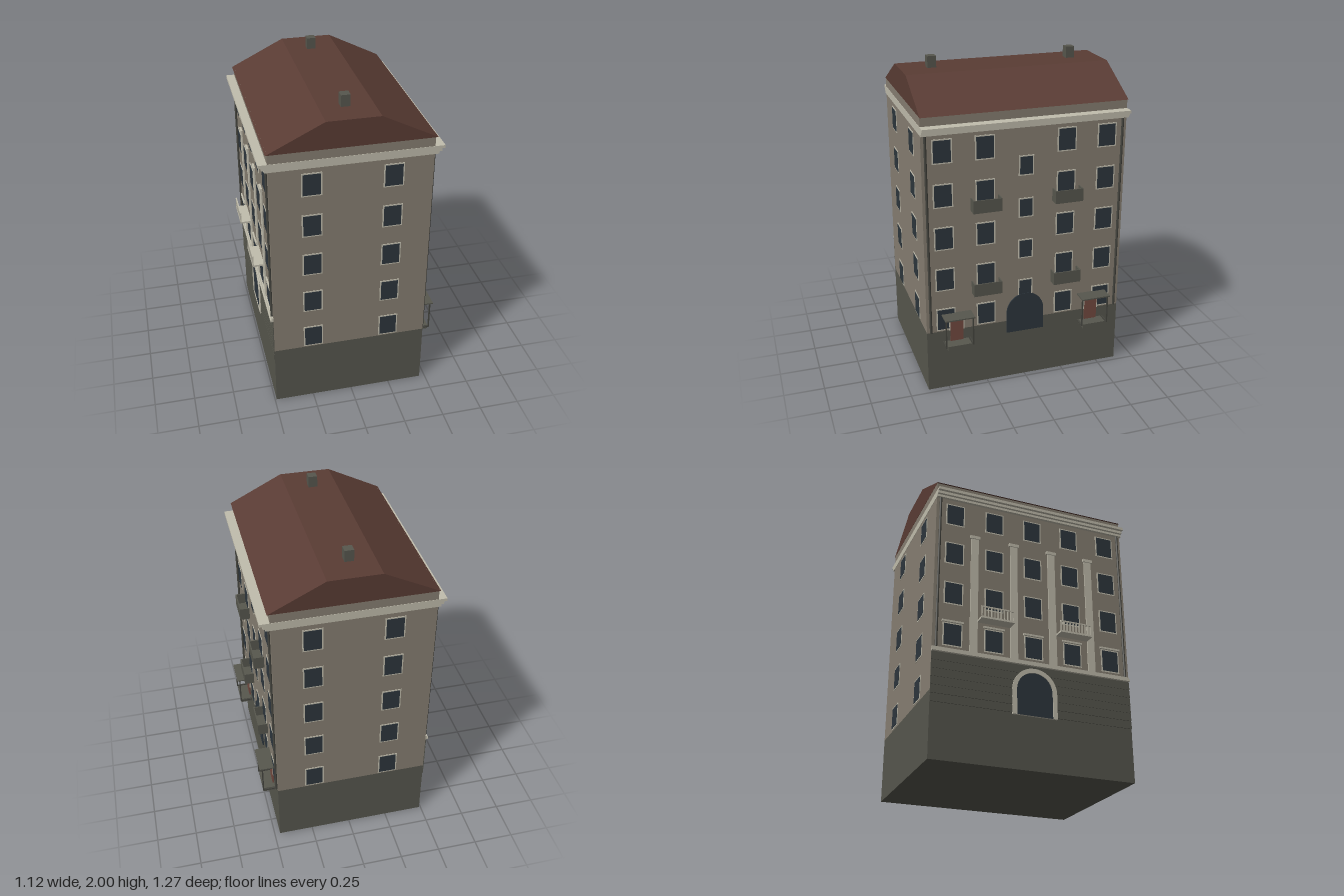
import * as THREE from 'three';

const mat = (name, color) => Object.assign(new THREE.MeshStandardMaterial({ color }), { name });

export function createModel() {
  const M = {
    wall: mat('wall plaster', 0x877f72),
    stone: mat('dark stone', 0x57574e),
    trim: mat('cream trim', 0xc1bdad),
    glass: mat('dark glass', 0x2d363d),
    roof: mat('roof tile', 0x5a3c34),
    door: mat('door red', 0x734a40),
    pipe: mat('pipe metal', 0x45453f),
  };
  const root = new THREE.Group();
  root.name = 'apartmentBlock';
  const CX = -0.0125, HX = 0.4775, HZ = 0.63;

  const add = (parent, name, geo, material) => {
    const m = new THREE.Mesh(geo, material);
    m.name = name;
    parent.add(m);
    return m;
  };
  // box given by its minimum and maximum on each axis
  const box = (parent, name, material, x0, x1, y0, y1, z0, z1) => {
    const m = add(parent, name, new THREE.BoxGeometry(x1 - x0, y1 - y0, z1 - z0), material);
    m.position.set((x0 + x1) / 2, (y0 + y1) / 2, (z0 + z1) / 2);
    return m;
  };
  // facade group: local x runs along the wall, local z points outward
  const facade = (name, x, z, turn) => {
    const g = new THREE.Group();
    g.name = name;
    g.position.set(x, 0, z);
    g.rotation.y = turn;
    root.add(g);
    return g;
  };
  const windowAt = (parent, u, y, w = 0.12, h = 0.148) => {
    const g = new THREE.Group();
    g.name = 'window';
    g.position.set(u, y, 0);
    parent.add(g);
    box(g, 'windowFrame', M.trim, -w / 2, w / 2, -h / 2, h / 2, 0, 0.003);
    box(g, 'windowPane', M.glass, -w / 2 + 0.008, w / 2 - 0.008, -h / 2 + 0.008, h / 2 - 0.008, 0.003, 0.005);
  };
  const archShape = (r, y0, spring) => {
    const s = new THREE.Shape();
    s.moveTo(-r, y0);
    s.lineTo(r, y0);
    s.lineTo(r, spring);
    s.absarc(0, spring, r, 0, Math.PI, false);
    s.closePath();
    return s;
  };
  const extrude = (shape, depth) =>
    new THREE.ExtrudeGeometry(shape, { depth, bevelEnabled: false, curveSegments: 12 });
  const pipeAt = (parent, u, y0, y1) => {
    const m = add(parent, 'drainpipe', new THREE.CylinderGeometry(0.008, 0.008, y1 - y0, 8), M.pipe);
    m.position.set(u, (y0 + y1) / 2, 0.005);
  };
  const rows = [0.482, 0.75, 1.018, 1.287, 1.556];

  // main body
  box(root, 'base', M.stone, CX - HX, CX + HX, 0, 0.4, -HZ, HZ);
  box(root, 'walls', M.wall, CX - HX, CX + HX, 0.4, 1.77, -HZ, HZ);

  // stepped cornice
  [[0.5, 1.66, 1.675], [0.515, 1.675, 1.692], [0.533, 1.692, 1.71]].forEach(([w, y0, y1]) =>
    box(root, 'cornice', M.trim, CX + 0.004 - w, CX + 0.004 + w, y0, y1, -HZ - 0.002, HZ + 0.002));

  // roof with a flat crown
  const profile = new THREE.Shape([[-0.5, 1.765], [0.48, 1.765], [0.15, 1.93], [-0.165, 1.93]]
    .map(([x, y]) => new THREE.Vector2(x, y)));
  add(root, 'roof', extrude(profile, 2 * HZ + 0.002), M.roof).position.z = -HZ - 0.001;
  for (const z of [0.442, -0.442])
    box(root, 'chimney', M.stone, -0.042, 0.013, 1.9, 2, z - 0.027, z + 0.027);

  // front and back walls
  for (const s of [1, -1]) {
    const g = facade(s > 0 ? 'frontFacade' : 'backFacade', CX + 0.005, s * HZ, s > 0 ? 0 : Math.PI);
    for (const y of rows) for (const u of [-0.238, 0.238]) windowAt(g, u, y);
  }

  // courtyard side
  const court = facade('courtyardFacade', CX + HX, 0, Math.PI / 2);
  for (const y of rows) for (const u of [-0.508, -0.253, 0.253, 0.508]) windowAt(court, u, y);
  for (const y of [0.615, 0.884, 1.153, 1.42]) windowAt(court, 0, y, 0.094, 0.125);
  add(court, 'archedDoor', extrude(archShape(0.12, 0.32, 0.46), 0.008), M.glass);
  for (const s of [-1, 1]) {
    pipeAt(court, s * 0.605, 0.4, 1.66);
    // open-topped balconies
    for (const y of [0.635, 1.175]) {
      const b = new THREE.Group();
      b.name = 'balcony';
      b.position.set(s * 0.255, y, 0);
      court.add(b);
      box(b, 'balconyFloor', M.stone, -0.088, 0.088, 0, 0.01, 0, 0.062);
      box(b, 'balconyFront', M.stone, -0.088, 0.088, 0.01, 0.08, 0.055, 0.062);
      for (const e of [-1, 1])
        box(b, 'balconySide', M.stone, e * 0.0845 - 0.0035, e * 0.0845 + 0.0035, 0.01, 0.08, 0, 0.055);
    }
    // porch with step, posts and canopy
    const p = new THREE.Group();
    p.name = 'porch';
    p.position.x = s * 0.443;
    court.add(p);
    box(p, 'porchDoorFrame', M.trim, -0.048, 0.048, 0.4, 0.493, 0, 0.006);
    box(p, 'porchDoor', M.door, -0.041, 0.041, 0.32, 0.485, 0, 0.009);
    box(p, 'porchStep', M.stone, -0.075, 0.075, 0.3, 0.328, 0, 0.075);
    box(p, 'porchCanopy', M.stone, -0.093, 0.093, 0.51, 0.518, 0, 0.095);
    for (const e of [-1, 1]) {
      box(p, 'porchPost', M.pipe, e * 0.085 - 0.004, e * 0.085 + 0.004, 0.328, 0.51, 0.073, 0.081);
      box(p, 'porchSideRail', M.pipe, e * 0.085 - 0.004, e * 0.085 + 0.004, 0.322, 0.33, 0, 0.081);
    }
    }
  
  // street side
  const street = facade('streetFacade', CX - HX, 0, -Math.PI / 2);
  for (const y of rows.slice(1)) for (const u of [-0.508, -0.253, 0, 0.253, 0.508]) windowAt(street, u, y);
  for (const u of [-0.508, -0.253, 0, 0.253, 0.508])
    box(street, 'windowHood', M.trim, u - 0.066, u + 0.066, 0.826, 0.838, 0, 0.01);
  // stone courses with narrow joints
  box(street, 'stoneFacing', M.stone, -HZ, HZ, 0.4, 0.632, 0, 0.002);
  for (let i = 0; i < 6; i++)
    box(street, 'stoneCourse', M.stone, -HZ, HZ, 0.33 + i * 0.05, 0.375 + i * 0.05, 0, 0.005);
  box(street, 'ledge', M.trim, -HZ, HZ, 0.632, 0.645, 0, 0.018);
  box(street, 'ledgeTop', M.trim, -HZ, HZ, 0.645, 0.66, 0, 0.01);
  for (const u of [-0.38, -0.126, 0.126, 0.38]) {
    box(street, 'pilaster', M.trim, u - 0.024, u + 0.024, 0.66, 1.415, 0, 0.007);
    box(street, 'pilasterCapital', M.trim, u - 0.032, u + 0.032, 1.415, 1.435, 0, 0.013);
  }
  const surround = archShape(0.14, 0.32, 0.475);
  surround.holes.push(archShape(0.113, 0.3201, 0.475));
  add(street, 'doorSurround', extrude(surround, 0.013), M.trim);
  add(street, 'archedDoor', extrude(archShape(0.113, 0.32, 0.475), 0.008), M.glass);
  for (const s of [-1, 1]) {
    pipeAt(street, s * 0.605, 0.66, 1.66);
    // railed balconies
    const b = new THREE.Group();
    b.name = 'railedBalcony';
    b.position.x = s * 0.253;
    street.add(b);
    box(b, 'balconySlab', M.trim, -0.104, 0.104, 0.858, 0.87, 0, 0.072);
    box(b, 'handrail', M.trim, -0.104, 0.104, 0.928, 0.936, 0.064, 0.072);
    for (let i = 0; i < 11; i++) {
      const u = -0.1 + i * 0.02;
      box(b, 'baluster', M.trim, u - 0.003, u + 0.003, 0.87, 0.928, 0.065, 0.071);
    }
  }
  return root;
}
